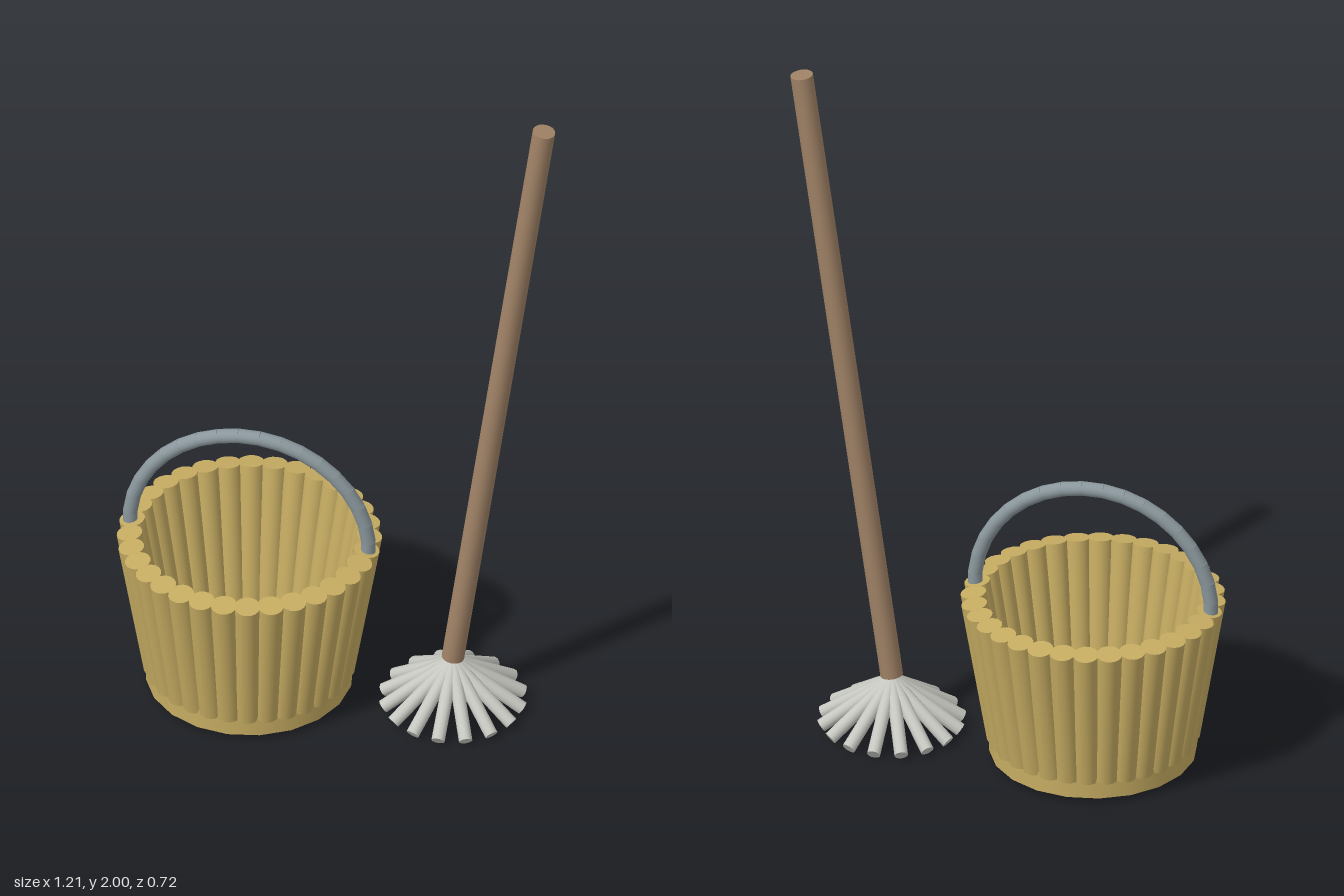
import * as THREE from 'three';

const mat = (name, color) => {
  const m = new THREE.MeshStandardMaterial({ color });
  m.name = name;
  return m;
};

// Round rod running from point a to point b
function rod(name, a, b, radius, material, sides = 16) {
  const dir = b.clone().sub(a);
  const mesh = new THREE.Mesh(new THREE.CylinderGeometry(radius, radius, dir.length(), sides), material);
  mesh.position.copy(a).addScaledVector(dir, 0.5);
  mesh.quaternion.setFromUnitVectors(new THREE.Vector3(0, 1, 0), dir.normalize());
  mesh.name = name;
  return mesh;
}

// Point on a horizontal ring
const ring = (r, y, angle) => new THREE.Vector3(r * Math.cos(angle), y, r * Math.sin(angle));

export function createModel() {
  const wood = mat('golden wood', 0xc6ac62);
  const poleWood = mat('brown wood', 0xa08266);
  const metal = mat('grey handle', 0x8a979c);
  const fibre = mat('pale bristle', 0xc6c7c0);

  const model = new THREE.Group();
  model.name = 'bucketAndMop';

  // Bucket: base disc and a flared ring of round staves
  const bucket = new THREE.Group();
  bucket.name = 'bucket';
  bucket.position.x = -0.246;
  const base = new THREE.Mesh(new THREE.CylinderGeometry(0.283, 0.283, 0.058, 20), wood);
  base.name = 'bucketBase';
  base.position.y = 0.043;
  bucket.add(base);
  const staves = 32;
  for (let i = 0; i < staves; i++) {
    const a = (i / staves) * Math.PI * 2;
    bucket.add(rod('stave', ring(0.256, 0.066, a), ring(0.326, 0.487, a), 0.0355, wood));
  }

  // Handle: short rods following a half circle
  const handle = new THREE.Group();
  handle.name = 'bucketHandle';
  handle.position.y = 0.487;
  const links = 18;
  for (let i = 0; i <= links; i++) {
    const a = (i / links) * Math.PI;
    const mid = new THREE.Vector3(Math.cos(a), Math.sin(a), 0).multiplyScalar(0.331);
    const half = new THREE.Vector3(-Math.sin(a), Math.cos(a), 0).multiplyScalar(0.03);
    handle.add(rod('handleLink', mid.clone().sub(half), mid.clone().add(half), 0.02, metal));
  }
  bucket.add(handle);
  model.add(bucket);

  // Mop: leaning pole with splayed bristles
  const mop = new THREE.Group();
  mop.name = 'mop';
  mop.position.x = 0.32;
  mop.add(rod('pole', new THREE.Vector3(0, 0.16, 0), new THREE.Vector3(0.253, 1.995, 0), 0.031, poleWood, 20));
  const bristles = 16;
  for (let i = 0; i < bristles; i++) {
    const a = (i / bristles) * Math.PI * 2;
    mop.add(rod('bristle', ring(0, 0.146, a), ring(0.193, 0.0155, a), 0.0185, fibre, 12));
  }
  model.add(mop);
  return model;
}
